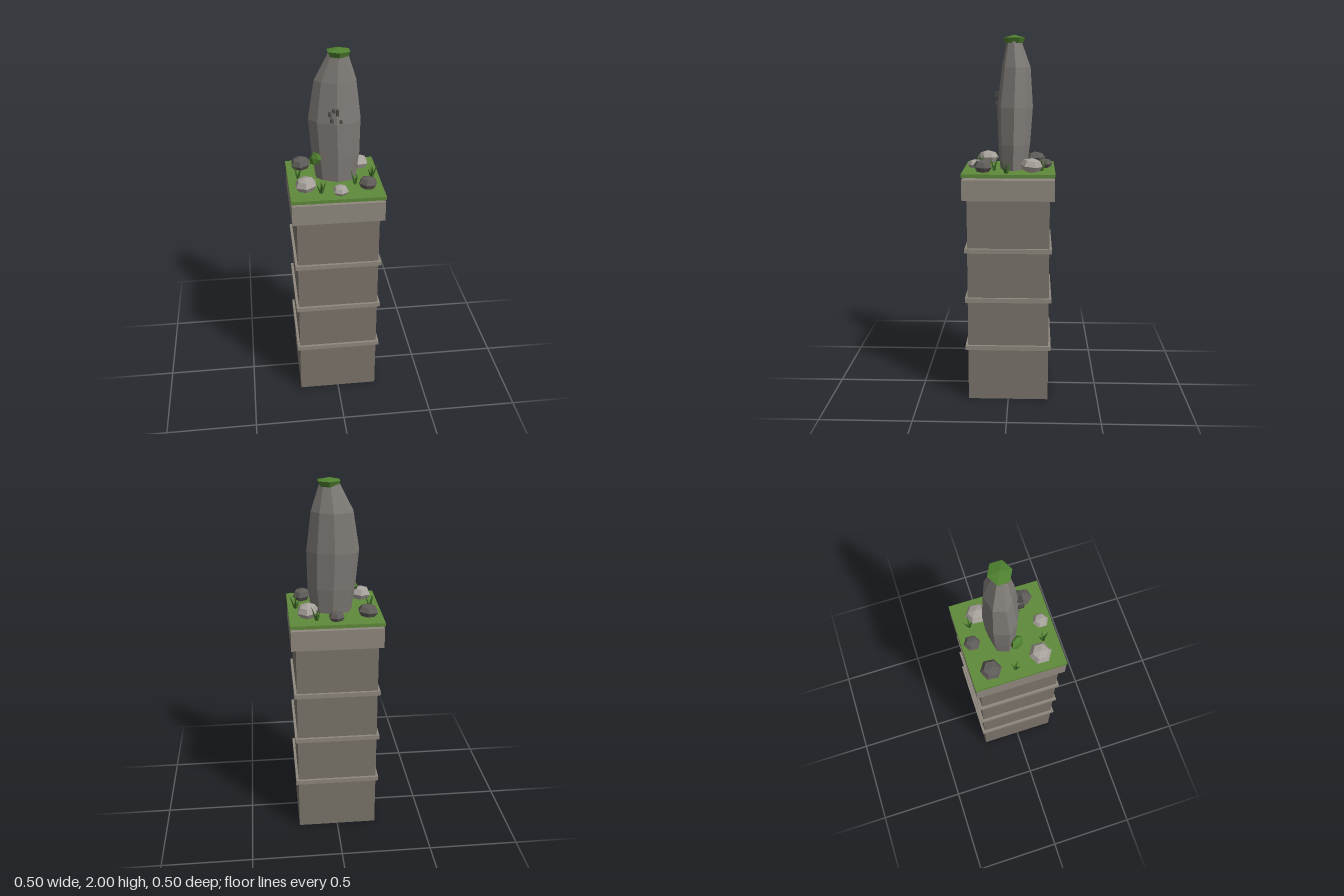
import * as THREE from 'three';

const mat = (color) => new THREE.MeshStandardMaterial({ color, flatShading: true });

export function createModel() {
  const model = new THREE.Group();
  const shaftStone = mat(0x7a736a), trimStone = mat(0x8f887e), standing = mat(0x7f7b77);
  const lightRock = mat(0xa8a29c), darkRock = mat(0x5f5b58), runeStone = mat(0x4a4845);
  const grass = mat(0x5f8a3a), moss = mat(0x4f8030), blade = mat(0x3f6a28);

  const add = (name, geometry, material, x = 0, y = 0, z = 0, parent = model) => {
    const mesh = new THREE.Mesh(geometry, material);
    mesh.name = name;
    mesh.position.set(x, y, z);
    parent.add(mesh);
    return mesh;
  };
  // square slab between two heights
  const slab = (name, half, y0, y1, material) =>
    add(name, new THREE.BoxGeometry(half * 2, y1 - y0, half * 2), material, 0, (y0 + y1) / 2, 0);

  // Pillar with trim bands, capital and turf (a thin gap lies below the turf)
  slab('pillarShaft', 0.222, 0, 1.14, shaftStone);
  [0.308, 0.584, 0.862].forEach((y) => slab('pillarBand', 0.236, y - 0.0125, y + 0.0125, trimStone));
  slab('pillarCapital', 0.247, 1.14, 1.251, trimStone);
  slab('turf', 0.25, 1.264, 1.283, grass);

  // Standing stone: one eight-sided outline, scaled and shifted ring by ring
  const outline = [[-0.14, 0], [-0.112, -0.074], [-0.003, -0.098], [0.088, -0.065],
    [0.14, 0], [0.103, 0.073], [0.003, 0.096], [-0.097, 0.053]];
  // height, scale x, scale z, centre x, centre z
  const rings = [[1.27, 0.77, 0.74, 0.015, -0.022], [1.42, 0.92, 0.9, 0.014, -0.026],
    [1.62, 1, 1, 0.007, -0.03], [1.83, 0.79, 0.8, 0.011, -0.036], [1.97, 0.37, 0.39, 0.024, -0.026]];
  const n = outline.length, points = [], faces = [];
  rings.forEach(([y, sx, sz, cx, cz]) =>
    outline.forEach(([x, z]) => points.push(cx + x * sx, y, cz + z * sz)));
  for (let r = 0; r < rings.length - 1; r++) {
    for (let j = 0; j < n; j++) {
      const a = r * n + j, b = r * n + (j + 1) % n;
      faces.push(b, a, a + n, b, a + n, b + n);
    }
  }
  const top = (rings.length - 1) * n;
  for (let j = 1; j < n - 1; j++) {
    faces.push(top, top + j + 1, top + j);
    faces.push(0, j, j + 1);
  }
  let stone = new THREE.BufferGeometry();
  stone.setAttribute('position', new THREE.Float32BufferAttribute(points, 3));
  stone.setIndex(faces);
  stone = stone.toNonIndexed();
  stone.computeVertexNormals();
  add('standingStone', stone, standing);

  // Moss on the tip and on the lower left flank
  const tuftProfile = [[0, 0], [0.052, 0], [0.066, 0.028], [0, 0.043]]
    .map(([x, y]) => new THREE.Vector2(x, y));
  const mossGeometry = new THREE.LatheGeometry(tuftProfile, 6);
  add('mossCap', mossGeometry, moss, 0.027, 1.957, -0.026).scale.set(1, 1, 0.9);
  const patch = add('mossPatch', mossGeometry, moss, -0.087, 1.405, 0.01);
  patch.scale.set(0.6, 1, 0.55);
  patch.rotation.set(0.75, 0, 0.95);

  // Small blocks on the front face: x, y, height
  [[-0.028, 1.677, 0.016], [-0.007, 1.695, 0.014], [0.012, 1.687, 0.03],
    [-0.017, 1.643, 0.016], [0.029, 1.637, 0.014]].forEach(([x, y, h]) =>
    add('carvedMark', new THREE.BoxGeometry(0.014, h, 0.03), runeStone, x, y, 0.062));

  // Boulders: x, z, radius, half height, turn, material
  [[-0.17, -0.143, 0.058, 0.036, 0.45, darkRock], [0.002, -0.193, 0.045, 0.028, 0.52, darkRock],
    [0.15, -0.123, 0.061, 0.04, 0.4, lightRock], [-0.163, 0.128, 0.061, 0.04, 0.5, lightRock],
    [0.015, 0.189, 0.044, 0.026, 0.6, lightRock], [0.167, 0.138, 0.052, 0.036, 0.25, darkRock],
  ].forEach(([x, z, r, h, turn, material], i) => {
    const rock = add('boulder', new THREE.SphereGeometry(1, 6, 4), material, x, 1.282 + h * 0.9, z);
    rock.scale.set(r, h, r);
    rock.rotation.set(0.1 * Math.sin(i * 2), turn, 0.1 * Math.cos(i * 2));
  });

  // Grass tufts: four blades leaning outward from a common root
  const bladeGeometry = new THREE.ConeGeometry(0.009, 0.085, 3).translate(0, 0.0425, 0);
  [[0.105, -0.177], [-0.195, -0.018], [0.207, 0.01], [0.106, 0.08], [-0.085, 0.17]].forEach(([x, z], i) => {
    const tuft = new THREE.Group();
    tuft.name = 'grassTuft';
    tuft.position.set(x, 1.28, z);
    for (let k = 0; k < 4; k++) {
      const b = add('grassBlade', bladeGeometry, blade, 0, 0, 0, tuft);
      b.rotation.set(0.3 + 0.05 * ((k + i) % 3), i * 0.8 + k * Math.PI / 2, 0, 'YXZ');
      b.scale.y = 0.75 + 0.15 * ((k * 2 + i) % 3);
    }
    model.add(tuft);
  });

  return model;
}
